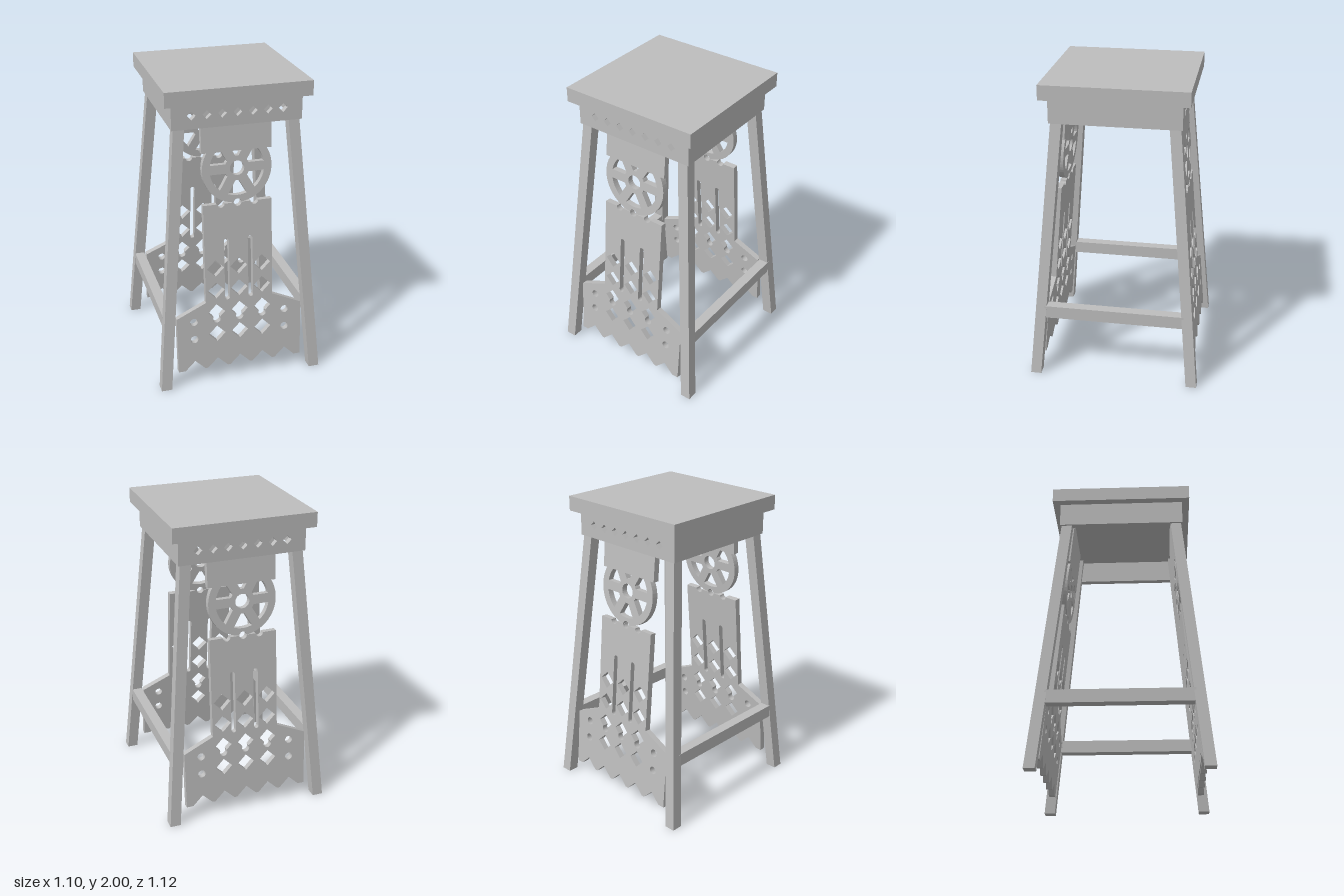
import * as THREE from 'three';

const SLOPE = 0.086; // inward lean of the pierced panels
const THICK = 0.04;

// closed path from a list of points
const path = (pts, Type = THREE.Path) => new Type(pts.map(([x, y]) => new THREE.Vector2(x, y)));
const arc = (cx, cy, r, a0, a1, n = 12) => Array.from({ length: n + 1 }, (_, i) => {
  const a = a0 + (a1 - a0) * i / n;
  return [cx + r * Math.cos(a), cy + r * Math.sin(a)];
});
const circle = (x, y, r, n = 24) => path(arc(x, y, r, 0, Math.PI * 2 * (1 - 1 / n), n - 1));
const diamond = (x, y, s) => path([[x - s, y], [x, y - s], [x + s, y], [x, y + s]]);

export function createModel() {
  const model = new THREE.Group();
  model.name = 'stool';
  const wood = new THREE.MeshStandardMaterial({ color: 0xbdbdbd });
  wood.name = 'light grey';

  const add = (parent, name, geometry, x = 0, y = 0, z = 0) => {
    const mesh = new THREE.Mesh(geometry, wood);
    mesh.name = name;
    mesh.position.set(x, y, z);
    parent.add(mesh);
    return mesh;
  };
  // flat plate whose outer face lies on local z = 0
  const plate = (outline, holes, depth) => {
    const shape = path(outline, THREE.Shape);
    shape.holes.push(...holes);
    return new THREE.ExtrudeGeometry(shape, { depth, bevelEnabled: false }).translate(0, 0, -depth);
  };

  add(model, 'seat', new THREE.BoxGeometry(0.924, 0.095, 0.924), 0, 1.9525, 0);

  // side aprons and stretchers
  for (const s of [-1, 1]) {
    add(model, 'sideApron', new THREE.BoxGeometry(0.04, 0.16, 0.746), s * 0.393, 1.825, 0);
    add(model, 'sideStretcher', new THREE.BoxGeometry(0.066, 0.085, 0.92), s * 0.475, 0.4625, 0);
  }

  // splayed legs, level at both ends
  for (const sx of [-1, 1]) for (const sz of [-1, 1]) {
    const leg = new THREE.BoxGeometry(0.07, 1.9, 0.07).translate(0, 0.95, 0);
    const p = leg.attributes.position;
    for (let i = 0; i < p.count; i++) {
      const t = p.getY(i) / 1.9;
      p.setX(i, p.getX(i) + sx * (0.515 - 0.163 * t));
      p.setZ(i, p.getZ(i) + sz * (0.527 - 0.173 * t));
    }
    leg.computeVertexNormals();
    add(model, 'leg', leg);
  }

  // apron board with a row of diamonds
  const apronHoles = [-3, -2, -1, 0, 1, 2, 3].map(i => diamond(i * 0.0965, 1.828, 0.028));
  const apron = plate([[-0.413, 1.745], [0.413, 1.745], [0.413, 1.905], [-0.413, 1.905]], apronHoles, 0.04);

  // neck board above the wheel
  const neck = plate([[-0.225, 1.58], [0.225, 1.58], [0.225, 1.89], [-0.225, 1.89]], [], THICK);

  // six-spoked wheel, nicked at the bottom
  const cy = 1.468, R = 0.225, base = cy - R, nick = 0.025;
  const half = 0.115;
  const rim = arc(0, cy, R, -Math.PI / 2 + half, Math.PI * 1.5 - half, 56);
  const wheelOutline = [...rim, ...arc(0, base, nick, Math.PI - 0.1, 0.1, 12).slice(1, -1)];
  const wheelHoles = [circle(0, cy, 0.047)];
  for (let i = 0; i < 6; i++) {
    const mid = Math.PI / 6 + i * Math.PI / 3;
    const [ai, ao] = [0.08, 0.177].map(r => Math.PI / 6 - Math.asin(0.03 / r));
    wheelHoles.push(path([
      ...arc(0, cy, 0.177, mid - ao, mid + ao, 8),
      ...arc(0, cy, 0.08, mid + ai, mid - ai, 4)]));
  }
  const wheel = plate(wheelOutline, wheelHoles, THICK);

  // wide lower panel: zigzag foot, sloping shoulders, scooped top
  const outline = [[-0.423, 0.1]];
  for (let i = -2; i <= 2; i++) {
    const x = i * 0.155;
    outline.push([x - 0.068, 0.1], [x, 0.166], [x + 0.068, 0.1]);
  }
  outline.push([0.423, 0.1], [0.423, 0.487], [0.225, 0.577], [0.225, base]);
  for (const x of [0.11, 0, -0.11]) outline.push(...arc(x, base, nick, 0, -Math.PI, 12));
  outline.push([-0.225, base], [-0.225, 0.577], [-0.423, 0.487]);

  const holes = [];
  for (const x of [-0.155, 0, 0.155]) {
    for (const y of [0.81, 0.655, 0.345]) holes.push(diamond(x, y, 0.057));
    // diamond with a round drop at its lower corner
    holes.push(path([[x + 0.057, 0.5], [x, 0.557], [x - 0.057, 0.5],
      ...arc(x, 0.45, 0.026, Math.PI - 0.594, Math.PI * 2 + 0.594, 16)]));
  }
  for (const s of [-1, 1]) {
    for (const y of [0.45, 0.325]) holes.push(circle(s * 0.31, y, 0.026));
    holes.push(path([
      ...arc(s * 0.079, 0.992, 0.016, 0, Math.PI, 8),
      ...arc(s * 0.079, 0.596, 0.016, Math.PI, Math.PI * 2, 8)]));
  }
  const panel = plate(outline, holes, THICK);

  // the same decorated face at front and back
  for (const side of ['front', 'back']) {
    const face = new THREE.Group();
    face.name = side + 'Face';
    if (side === 'back') face.rotation.y = Math.PI;
    add(face, 'apron', apron, 0, 0, 0.413);
    const leaning = new THREE.Group();
    leaning.name = 'leaningPanel';
    leaning.position.z = 0.5336;
    leaning.rotation.x = -SLOPE;
    add(leaning, 'neck', neck);
    add(leaning, 'wheel', wheel);
    add(leaning, 'lowerPanel', panel);
    face.add(leaning);
    model.add(face);
  }
  return model;
}
